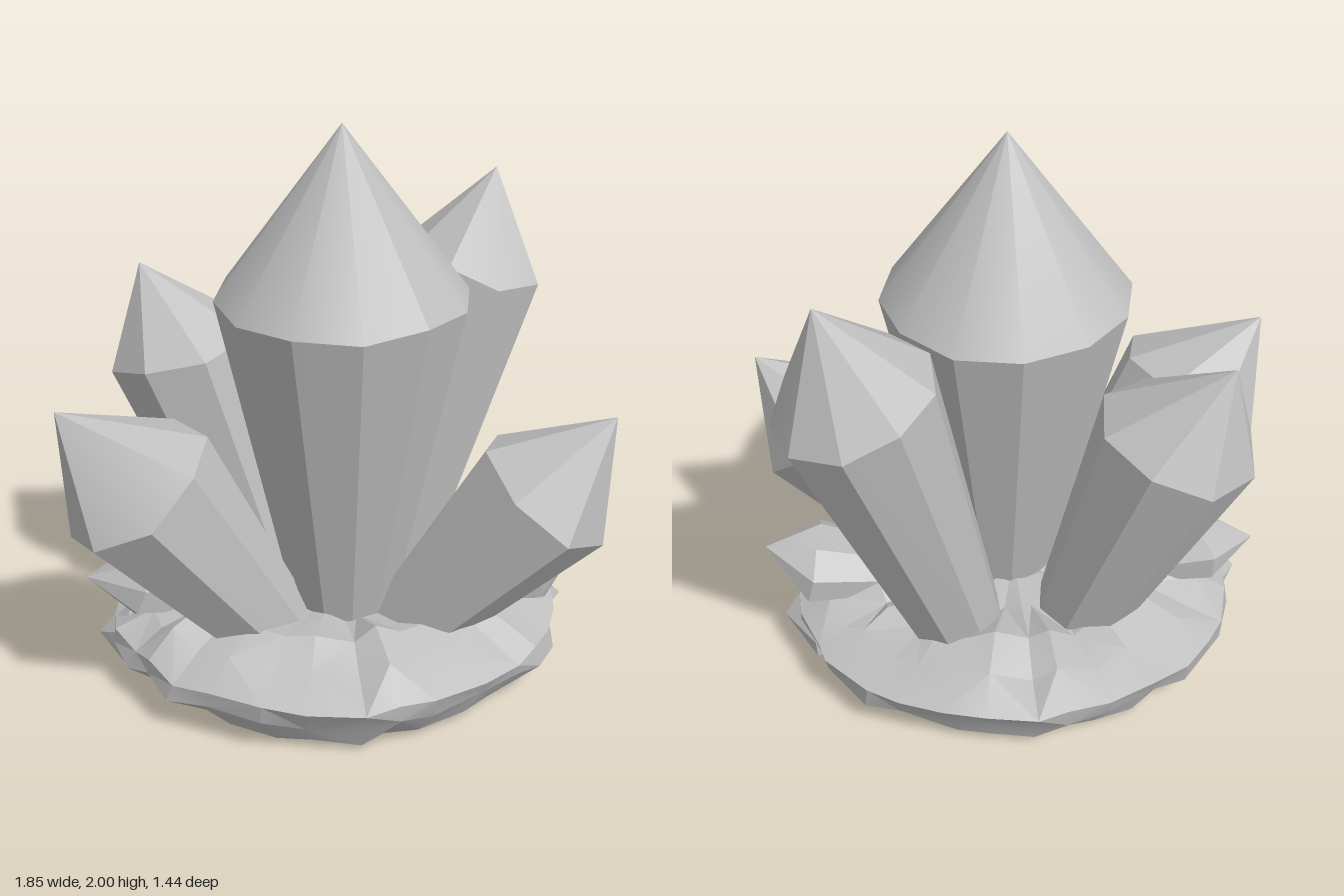
import * as THREE from 'three';
import { toCreasedNormals } from 'three/addons/utils/BufferGeometryUtils.js';
import { ConvexGeometry } from 'three/addons/geometries/ConvexGeometry.js';

// small seeded generator, returns -1..1
function seeded(seed) {
  let s = seed;
  return () => {
    s = (s * 16807) % 2147483647;
    return (s / 2147483647) * 2 - 1;
  };
}

// tapered shaft from base to girdle, closed by a pointed tip
function crystalGeometry({ base, girdle, tip, baseR, girdleR, sides, turn = 0, squash = 1, jitter = 0.02, seed }) {
  const rnd = seeded(seed);
  const b = new THREE.Vector3(...base);
  const g = new THREE.Vector3(...girdle);
  const axis = g.clone().sub(b).normalize();
  const u = new THREE.Vector3(0, 0, 1).addScaledVector(axis, -axis.z).normalize();
  const v = new THREE.Vector3().crossVectors(axis, u);
  const points = [new THREE.Vector3(...tip)];
  for (let i = 0; i < sides; i++) {
    const a = turn + (i / sides) * Math.PI * 2;
    const dir = u.clone().multiplyScalar(Math.cos(a)).addScaledVector(v, Math.sin(a) * squash);
    points.push(b.clone().addScaledVector(dir, baseR));
    points.push(g.clone().addScaledVector(dir, girdleR).addScaledVector(axis, rnd() * jitter));
  }
  return toCreasedNormals(new ConvexGeometry(points), 0.48);
}

// craggy oval rock made of pleated rings, from the flat underside up to the middle
function rockGeometry() {
  const rnd = seeded(4211);
  const n = 32;
  // x radius, z radius, height, radial jitter, height jitter, pleat height
  const rings = [
    [0.55, 0.56, 0.0, 0.03, 0, 0],
    [0.68, 0.635, 0.04, 0.025, 0.012, 0.01],
    [0.82, 0.685, 0.13, 0.03, 0.02, 0.02],
    [0.81, 0.71, 0.205, 0.02, 0.015, 0.02],
    [0.68, 0.57, 0.26, 0.03, 0.02, 0.035],
    [0.54, 0.43, 0.315, 0.04, 0.02, 0.035],
    [0.28, 0.24, 0.28, 0.02, 0.02, 0],
  ];
  const pleats = Array.from({ length: n }, (_, i) => ({
    lift: (i % 2 ? 0.4 : -0.4) + rnd() * 0.6,
    angle: ((i + rnd() * 0.25) / n) * Math.PI * 2,
  }));
  const pos = [0, 0, 0];
  const index = [];
  for (const [rx, rz, y, jr, jy, fold] of rings) {
    for (const { lift, angle } of pleats) {
      const k = 1 + rnd() * jr;
      pos.push(Math.sin(angle) * rx * k, y + rnd() * jy + lift * fold, Math.cos(angle) * rz * k);
    }
  }
  const top = pos.length / 3;
  pos.push(0, 0.28, 0);
  const at = (r, i) => 1 + r * n + (i % n);
  for (let i = 0; i < n; i++) {
    index.push(0, at(0, i + 1), at(0, i));
    index.push(top, at(rings.length - 1, i), at(rings.length - 1, i + 1));
    for (let r = 0; r < rings.length - 1; r++) {
      const [p, q, s, t] = [at(r, i), at(r, i + 1), at(r + 1, i), at(r + 1, i + 1)];
      if ((r + i) % 2) index.push(p, q, t, p, t, s);
      else index.push(p, q, s, q, t, s);
    }
  }
  const geo = new THREE.BufferGeometry();
  geo.setAttribute('position', new THREE.Float32BufferAttribute(pos, 3));
  geo.setIndex(index);
  return toCreasedNormals(geo, 0.3);
}

export function createModel() {
  const model = new THREE.Group();
  model.name = 'crystalCluster';
  const stone = new THREE.MeshStandardMaterial({ color: 0xbfbfbf });
  stone.name = 'greyStone';

  const add = (name, geometry) => {
    const mesh = new THREE.Mesh(geometry, stone);
    mesh.name = name;
    model.add(mesh);
  };

  add('rockBase', rockGeometry());

  const crystals = {
    mainCrystal: { base: [0.025, 0.15, 0.085], girdle: [0.015, 1.425, 0.085], tip: [0.01, 2, 0.1],
      baseR: 0.165, girdleR: 0.428, sides: 12, turn: 0.05, jitter: 0.012 },
    backLeftCrystal: { base: [0.2, 0.15, -0.225], girdle: [0.525, 1.35, -0.38], tip: [0.62, 1.71, -0.42],
      baseR: 0.16, girdleR: 0.278, sides: 9, turn: 0.2 },
    backRightCrystal: { base: [-0.21, 0.15, -0.19], girdle: [-0.52, 1.1, -0.32], tip: [-0.67, 1.4, -0.39],
      baseR: 0.16, girdleR: 0.28, sides: 8, turn: 0.3 },
    frontLeftCrystal: { base: [0.18, 0.13, 0.19], girdle: [0.69, 0.775, 0.295], tip: [0.91, 1.05, 0.32],
      baseR: 0.14, girdleR: 0.268, sides: 7, turn: 0.25 },
    frontRightCrystal: { base: [-0.195, 0.13, 0.175], girdle: [-0.685, 0.86, 0.29], tip: [-0.93, 1.14, 0.3],
      baseR: 0.145, girdleR: 0.283, sides: 8, turn: 0.1 },
    // short crystals lying over the rim on each side
    leftSpur: { base: [0.4, 0.27, 0.01], girdle: [0.74, 0.325, 0.015], tip: [0.92, 0.41, 0.01],
      baseR: 0.12, girdleR: 0.19, sides: 8, squash: 0.66, turn: 0.4 },
    rightSpur: { base: [-0.4, 0.27, 0], girdle: [-0.72, 0.33, 0.01], tip: [-0.91, 0.34, 0],
      baseR: 0.12, girdleR: 0.18, sides: 8, squash: 0.65, turn: 0.4 },
    // low rim points
    leftRimShard: { base: [0.5, 0.14, -0.08], girdle: [0.77, 0.155, -0.1], tip: [0.87, 0.13, -0.06],
      baseR: 0.16, girdleR: 0.2, sides: 7, squash: 0.38 },
    rightRimShard: { base: [-0.5, 0.14, 0.05], girdle: [-0.77, 0.155, 0.06], tip: [-0.87, 0.14, 0.06],
      baseR: 0.16, girdleR: 0.2, sides: 7, squash: 0.38 },
  };
  Object.entries(crystals).forEach(([name, spec], i) => add(name, crystalGeometry({ ...spec, seed: 97 + i * 131 })));

  return model;
}
